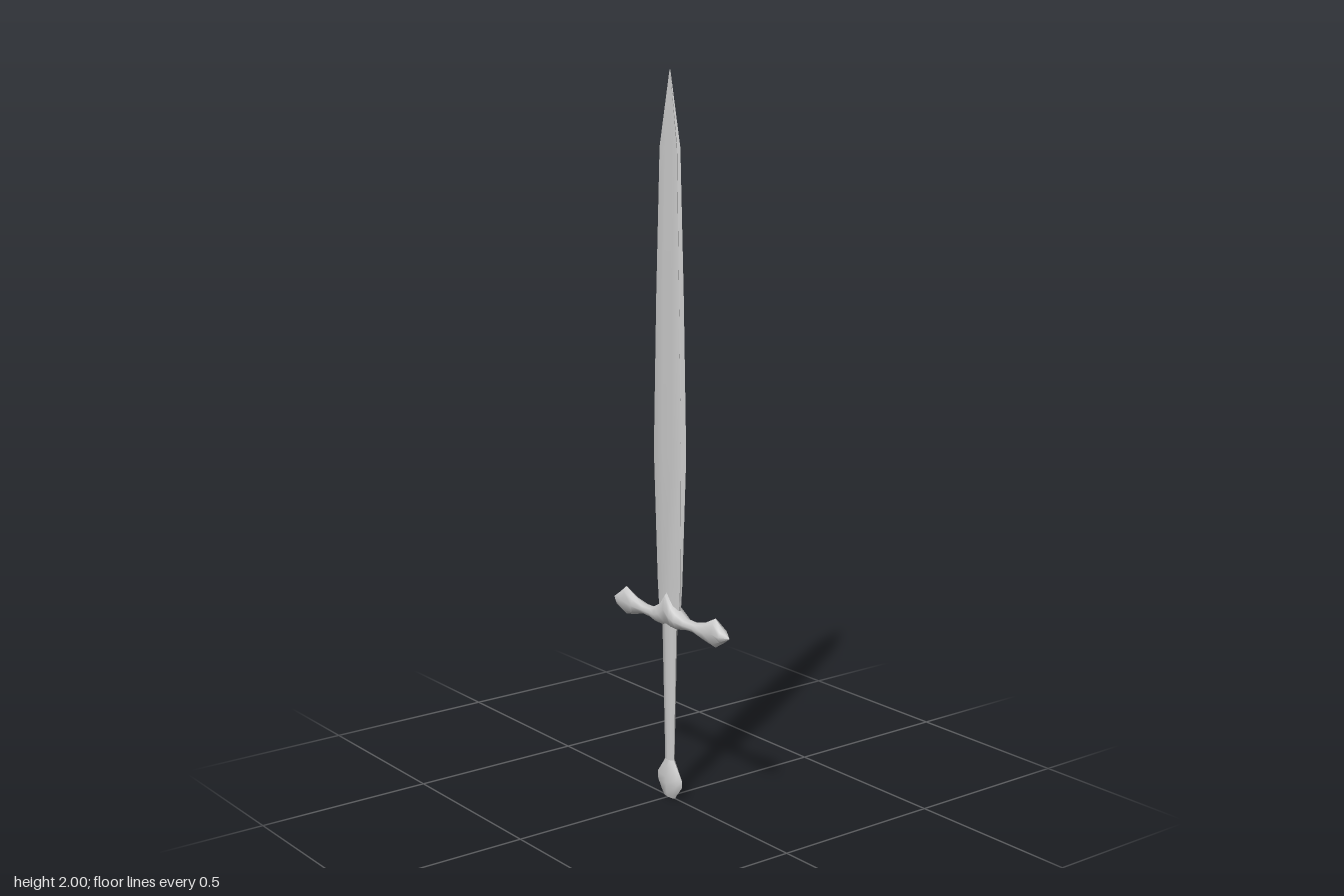
import * as THREE from 'three';
import { toCreasedNormals } from 'three/addons/utils/BufferGeometryUtils.js';

// Skin a list of rings (equal-length lists of [x, y, z]) and close both ends.
function loft(rings, crease) {
  const n = rings[0].length, last = (rings.length - 1) * n, index = [];
  for (let i = 0; i < rings.length - 1; i++) {
    for (let j = 0; j < n; j++) {
      const k = (j + 1) % n, a = i * n + j, b = i * n + k;
      index.push(a, b, b + n, a, b + n, a + n);
    }
  }
  for (let j = 1; j < n - 1; j++) {
    index.push(0, j + 1, j, last, last + j, last + j + 1);
  }
  const geometry = new THREE.BufferGeometry();
  geometry.setAttribute('position', new THREE.Float32BufferAttribute(rings.flat(2), 3));
  geometry.setIndex(index);
  return toCreasedNormals(geometry, crease);
}

// Eight-sided oval, counter-clockwise, as [across, deep] pairs.
function oval(w, d) {
  return Array.from({ length: 8 }, (_, i) => {
    const a = (i * Math.PI) / 4;
    return [Math.cos(a) * w, Math.sin(a) * d];
  });
}

// Upright oval loft from [y, half width, half depth] rows.
const upright = (rows, crease) =>
  loft(rows.map(([y, w, d]) => oval(w, d).map(([x, z]) => [x, y, -z])), crease);

export function createModel() {
  const group = new THREE.Group();
  const material = new THREE.MeshStandardMaterial({ color: 0xcccccc, side: THREE.DoubleSide });
  const add = (name, geometry) => {
    const mesh = new THREE.Mesh(geometry, material);
    mesh.name = name;
    group.add(mesh);
  };

  // Blade: [y, half width, edge half depth, middle half depth, edge groove]
  const bladeRows = [
    [0.53, 0.044, 0.003, 0.011, 0],
    [0.62, 0.05, 0.004, 0.011, 0.002],
    [0.98, 0.06, 0.009, 0.009, 0.012],
    [1.4, 0.05, 0.008, 0.008, 0.01],
    [1.8, 0.037, 0.006, 0.006, 0.006],
    [2.0, 0.0008, 0.0008, 0.0008, 0],
  ];
  add('blade', loft(bladeRows.map(([y, w, e, m, g]) => [
    [w - g, y, 0], [w, y, -e], [w * 0.35, y, -m], [-w * 0.35, y, -m], [-w, y, -e],
    [-w + g, y, 0], [-w, y, e], [-w * 0.35, y, m], [w * 0.35, y, m], [w, y, e],
  ]), 0.7));

  // Crossguard: half of the rows, [x, bottom y, top y, half depth], mirrored
  const half = [
    [0, 0.493, 0.603, 0.025],
    [0.025, 0.493, 0.565, 0.025],
    [0.045, 0.496, 0.55, 0.025],
    [0.075, 0.503, 0.534, 0.018],
    [0.115, 0.505, 0.533, 0.017],
    [0.16, 0.492, 0.545, 0.017],
    [0.2, 0.484, 0.565, 0.017],
    [0.232, 0.503, 0.541, 0.017],
    [0.258, 0.521, 0.523, 0.001],
  ];
  const guardRows = [...half.slice(1).reverse().map(([x, ...r]) => [-x, ...r]), ...half];
  add('crossguard', loft(guardRows.map(([x, lo, hi, d]) =>
    oval((hi - lo) / 2, d).map(([y, z]) => [x, (lo + hi) / 2 + y, z])), 1.0));

  // Grip, tapering towards the pommel
  add('grip', upright([
    [0.09, 0.018, 0.009],
    [0.25, 0.022, 0.011],
    [0.51, 0.029, 0.015],
  ], 1.0));

  // Flattened pommel
  add('pommel', upright([
    [0, 0.024, 0.008],
    [0.012, 0.032, 0.012],
    [0.04, 0.055, 0.014],
    [0.06, 0.055, 0.014],
    [0.09, 0.033, 0.012],
    [0.112, 0.018, 0.009],
  ], 1.0));

  return group;
}
